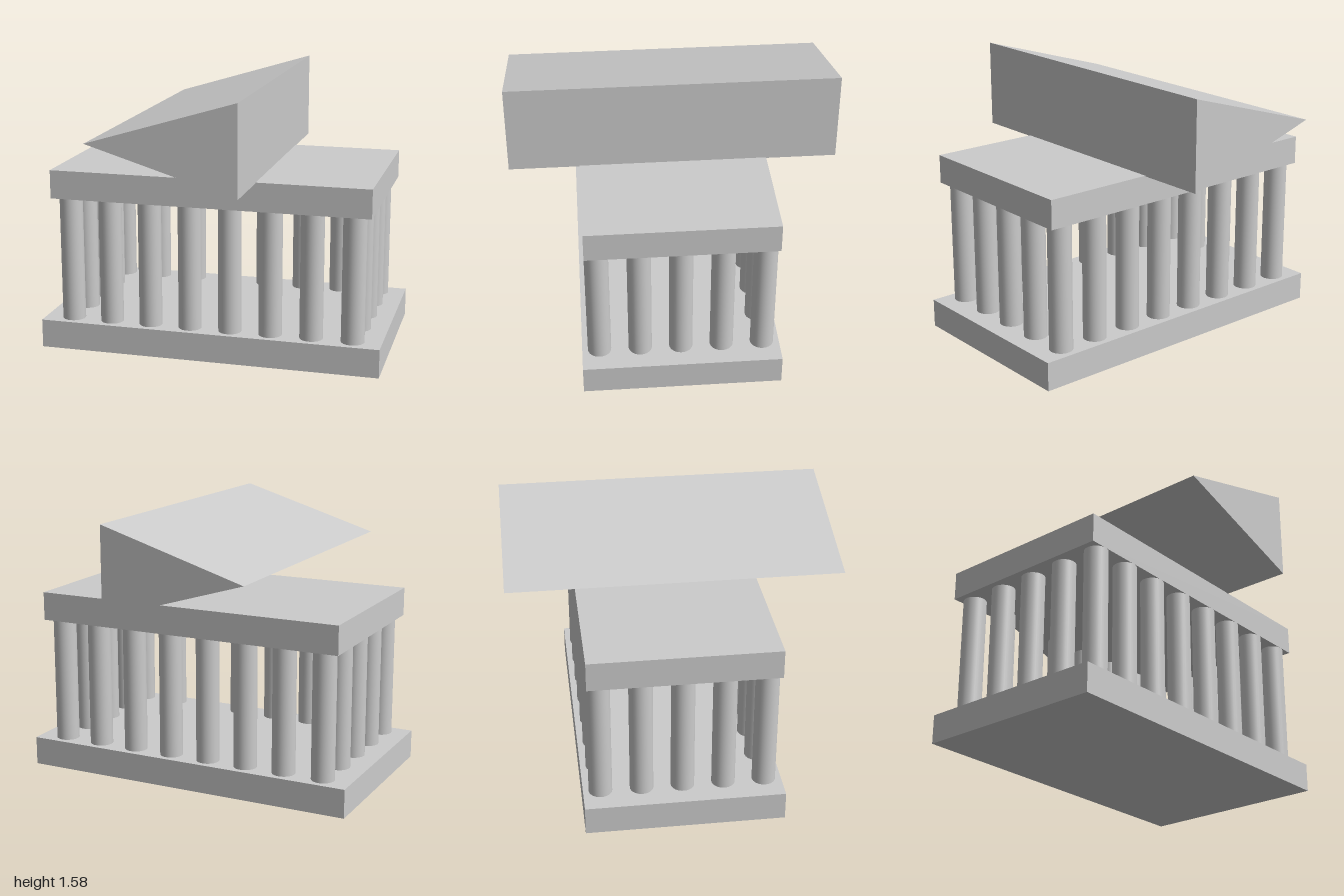
import * as THREE from 'three';

export function createModel() {
  const temple = new THREE.Group();
  temple.name = 'temple';
  const stone = new THREE.MeshStandardMaterial({ color: 0xcccccc });

  const add = (name, geometry, x, y, z) => {
    const mesh = new THREE.Mesh(geometry, stone);
    mesh.name = name;
    mesh.position.set(x, y, z);
    temple.add(mesh);
  };

  // Base and ceiling slabs
  add('base', new THREE.BoxGeometry(2, 0.167, 1.133), 0, 0.0835, 0);
  add('entablature', new THREE.BoxGeometry(1.867, 0.167, 1.067), 0, 0.9835, 0);

  // Ring of columns around the edge
  const columnsX = 8, columnsZ = 5, halfX = 0.833, halfZ = 0.467;
  const columnGeometry = new THREE.CylinderGeometry(0.067, 0.067, 0.733, 32);
  for (let i = 0; i < columnsX; i++) {
    for (let j = 0; j < columnsZ; j++) {
      const onEdge = i === 0 || i === columnsX - 1 || j === 0 || j === columnsZ - 1;
      if (!onEdge) continue;
      const x = -halfX + (2 * halfX * i) / (columnsX - 1);
      const z = -halfZ + (2 * halfZ * j) / (columnsZ - 1);
      add('column', columnGeometry, x, 0.5335, z);
    }
  }

  // Triangular roof prism, lying on its side with its length along z
  const triangle = new THREE.Shape([
    new THREE.Vector2(-0.567, 0),
    new THREE.Vector2(0.283, -0.257),
    new THREE.Vector2(0.283, 0.257),
  ]);
  const roofLength = 1.867;
  const roof = new THREE.ExtrudeGeometry(triangle, { depth: roofLength, bevelEnabled: false });
  add('roof', roof, 0, 1.32, -roofLength / 2);

  return temple;
}
